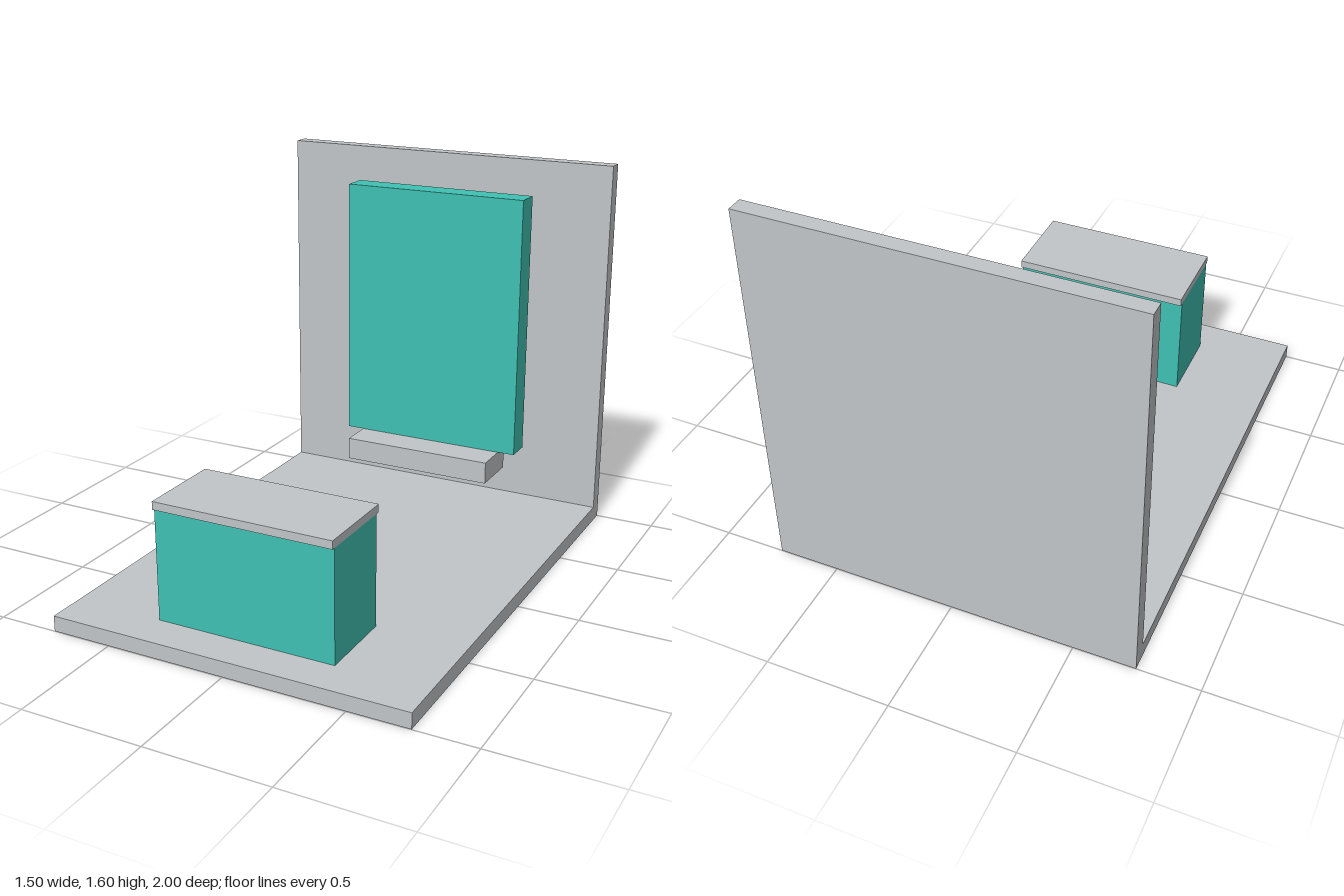
import * as THREE from 'three';

export function createModel() {
  const group = new THREE.Group();
  const grey = new THREE.MeshStandardMaterial({ color: 0xc2c5c8 });
  grey.name = 'light grey';
  const teal = new THREE.MeshStandardMaterial({ color: 0x40c1b3 });
  teal.name = 'teal';

  // Box centred on x, given its width and its y and z ranges
  function slab(name, material, width, [y0, y1], [z0, z1]) {
    const mesh = new THREE.Mesh(new THREE.BoxGeometry(width, y1 - y0, z1 - z0), material);
    mesh.name = name;
    mesh.position.set(0, (y0 + y1) / 2, (z0 + z1) / 2);
    group.add(mesh);
  }

  // Stand shell
  slab('floor', grey, 1.5, [0, 0.064], [-0.935, 1]);
  slab('backWall', grey, 1.5, [0, 1.6], [-1, -0.935]);

  // Upright display panel with the plinth below it
  slab('displayPanel', teal, 0.824, [0.303, 1.45], [-0.907, -0.797]);
  slab('plinth', grey, 0.674, [0.206, 0.303], [-0.87, -0.65]);

  // Counter, set through the floor so its base shows underneath
  slab('counterBody', teal, 0.75, [-0.001, 0.522], [0.512, 0.842]);
  slab('counterTop', grey, 0.75, [0.522, 0.555], [0.495, 0.855]);

  return group;
}
